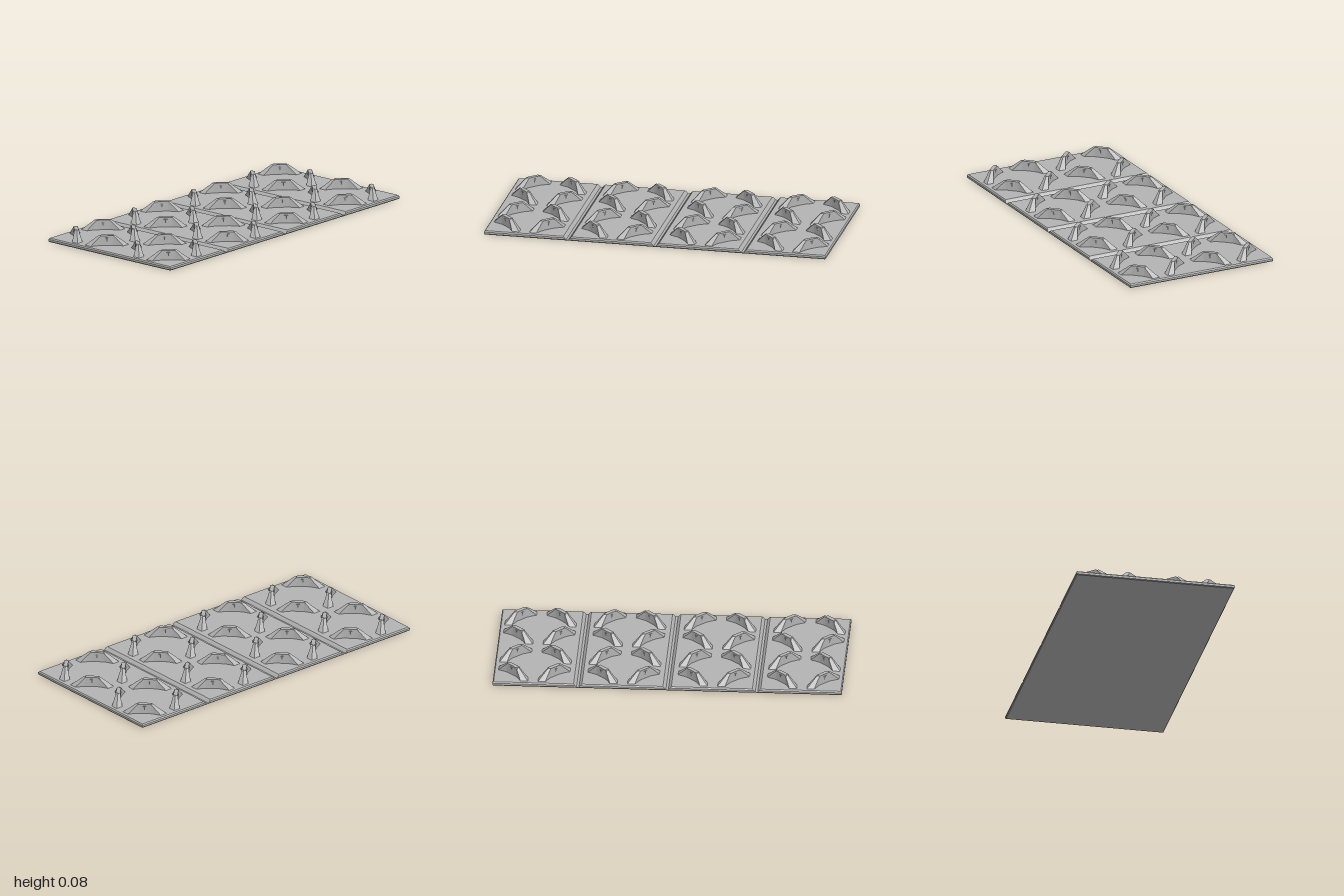
import * as THREE from 'three';

const PLATE_TOP = 0.023, RIDGE_TOP = 0.08;
const HALF_BASE = 0.088, HALF_TOP = 0.034;   // square pyramid each ridge is carved from

// Six-sided block whose top rectangle differs from its bottom: rect = [x0, x1, z0, z1]
function taperedBlock(bottom, top, y0, y1) {
  const g = new THREE.BoxGeometry(1, 1, 1).toNonIndexed();
  const p = g.attributes.position;
  for (let i = 0; i < p.count; i++) {
    const up = p.getY(i) > 0, r = up ? top : bottom;
    p.setXYZ(i, p.getX(i) > 0 ? r[1] : r[0], up ? y1 : y0, p.getZ(i) > 0 ? r[3] : r[2]);
  }
  g.computeVertexNormals();
  return g;
}

// Narrow-waisted diagonal ridge with pointed, hipped ends, lying along x
function ridgeGeometry() {
  const half = [[0, 0.012], [0.02, 0.012], [0.036, 0.0125], [0.048, 0.015],
    [0.065, 0.02], [0.08, 0.025], [0.0945, 0.03], [0.1245, 0]];
  const stations = [...half.slice(1).reverse().map(([u, w]) => [-u, w]), ...half];
  const height = (u, v) => {
    const inset = HALF_BASE - (Math.abs(u) + Math.abs(v)) / Math.SQRT2;
    const k = THREE.MathUtils.clamp(inset / (HALF_BASE - HALF_TOP), 0, 1);
    return PLATE_TOP + k * (RIDGE_TOP - PLATE_TOP);
  };
  const pos = [], index = [], n = 5;
  for (const [u, w] of stations) {
    pos.push(u, PLATE_TOP - 0.002, -w, u, height(u, w), -w, u, height(u, 0), 0,
      u, height(u, w), w, u, PLATE_TOP - 0.002, w);
  }
  for (let i = 0; i < stations.length - 1; i++) {
    for (let j = 0; j < n - 1; j++) {
      const a = i * n + j, d = a + n;
      index.push(a, a + 1, d + 1, a, d + 1, d);
    }
  }
  let g = new THREE.BufferGeometry();
  g.setAttribute('position', new THREE.Float32BufferAttribute(pos, 3));
  g.setIndex(index);
  g = g.toNonIndexed();
  g.computeVertexNormals();
  return g;
}

export function createModel() {
  const grey = new THREE.MeshStandardMaterial({ color: 0xb4b4b4, flatShading: true });
  grey.name = 'grey plastic';
  const model = new THREE.Group();
  model.name = 'holderTray';
  const add = (parent, geometry, name) => {
    const mesh = new THREE.Mesh(geometry, grey);
    mesh.name = name;
    parent.add(mesh);
    return mesh;
  };

  // Floor slab with a small chamfer underneath
  const Z = 0.462;
  add(model, taperedBlock([-0.996, 0.996, -Z + 0.004, Z - 0.004], [-1, 1, -Z, Z], 0, 0.005), 'floor');

  // Four raised panels, separated by sloped grooves
  const grooves = [-0.512, 0, 0.512];
  for (let i = 0; i < 4; i++) {
    const first = i === 0, last = i === 3;
    const edges = (g, e) => [first ? -1 + e : grooves[i - 1] + g, last ? 1 - e : grooves[i] - g, -Z + e, Z - e];
    add(model, taperedBlock(edges(0.007, 0), edges(0.016, 0), 0.005, 0.016), 'panelSide');
    add(model, taperedBlock(edges(0.016, 0), edges(0.024, 0.006), 0.016, PLATE_TOP), 'panelTop');
  }

  // Ridges in diamond rings of four, each with a small retaining bump at its waist
  const ridge = ridgeGeometry();
  const bump = new THREE.CylinderGeometry(0.021, 0.013, 0.034, 8);
  bump.scale(1, 1, 0.8);
  for (const cx of [-0.77, -0.258, 0.258, 0.77]) {
    for (const cz of [-0.233, 0.233]) {
      const ring = new THREE.Group();
      ring.name = 'holderRing';
      ring.position.set(cx, 0, cz);
      for (const sx of [-1, 1]) {
        for (const sz of [-1, 1]) {
          const holder = new THREE.Group();
          holder.name = 'holderRidge';
          holder.position.set(sx * 0.117, 0, sz * 0.116);
          holder.rotation.y = sx * sz * Math.PI / 4;
          add(holder, ridge, 'ridge');
          add(holder, bump, 'retainingBump').position.y = 0.052;
          ring.add(holder);
        }
      }
      model.add(ring);
    }
  }
  return model;
}
